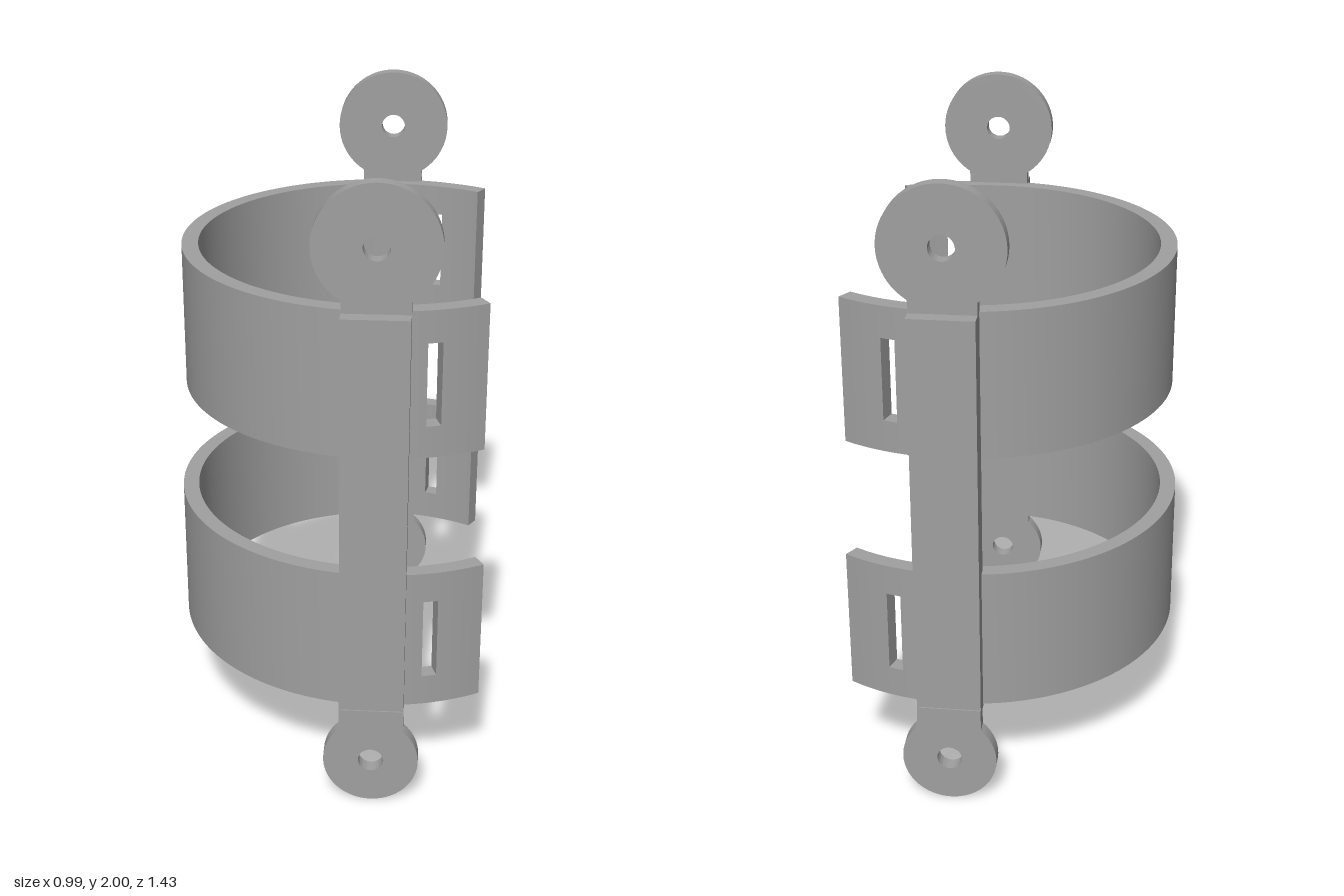
import * as THREE from 'three';
import { toCreasedNormals } from 'three/addons/utils/BufferGeometryUtils.js';

const CX = 0.163; // shared axis of the cuffs and side bars
const rad = THREE.MathUtils.degToRad;

export function createModel() {
  const model = new THREE.Group();
  model.name = 'hingedBrace';
  const grey = new THREE.MeshStandardMaterial({ color: 0xa0a0a0 });
  grey.name = 'plain grey';

  const add = (parent, geometry, name) => {
    const mesh = new THREE.Mesh(geometry, grey);
    mesh.name = name;
    parent.add(mesh);
    return mesh;
  };

  // Upright curved wall between two angles, measured from +x
  function sector(inner, outer, from, to, y0, y1) {
    const shape = new THREE.Shape();
    shape.absarc(0, 0, outer, rad(from), rad(to), false);
    shape.absarc(0, 0, inner, rad(to), rad(from), true);
    const geometry = new THREE.ExtrudeGeometry(shape, {
      depth: y1 - y0, bevelEnabled: false, curveSegments: Math.max(4, Math.round((to - from) / 4)),
    });
    geometry.rotateX(-Math.PI / 2).translate(CX, y0, 0);
    return toCreasedNormals(geometry, 0.5);
  }

  // Open cuff with a strap slot near each end
  function cuff(name, inner, outer, y0, y1, slot0, slot1) {
    const group = new THREE.Group();
    group.name = name;
    const end = 60, slotA = 72.7, slotB = 76.7;
    add(group, sector(inner, outer, slotB, 360 - slotB, y0, y1), 'cuffWall');
    for (const mirrored of [false, true]) {
      const piece = (a, b, low, high, label) => add(group, mirrored
        ? sector(inner, outer, 360 - b, 360 - a, low, high)
        : sector(inner, outer, a, b, low, high), label);
      piece(end, slotA, y0, y1, 'cuffEnd');
      piece(slotA, slotB, y0, slot0, 'slotLowerBridge');
      piece(slotA, slotB, slot1, y1, 'slotUpperBridge');
    }
    model.add(group);
  }
  cuff('upperCuff', 0.588, 0.64, 1.16, 1.62, 1.26, 1.52);
  cuff('lowerCuff', 0.612, 0.663, 0.32, 0.783, 0.42, 0.685);

  // Round eyelet with a straight neck; the neck leaves along dir (+1 up, -1 down)
  function eyelet(radius, cy, neckEnd, dir, z0, z1) {
    const half = 0.1;
    const a = Math.asin(half / radius);
    const shape = new THREE.Shape();
    const start = dir * Math.PI / 2 + a;
    shape.moveTo(radius * Math.cos(start), radius * Math.sin(start));
    shape.absarc(0, 0, radius, start, start + 2 * Math.PI - 2 * a, false);
    shape.lineTo(dir * half, neckEnd - cy);
    shape.lineTo(-dir * half, neckEnd - cy);
    shape.closePath();
    const hole = new THREE.Path();
    hole.absarc(0, 0, 0.039, 0, Math.PI * 2, true);
    shape.holes.push(hole);
    const geometry = new THREE.ExtrudeGeometry(shape, {
      depth: z1 - z0, bevelEnabled: false, curveSegments: 40,
    });
    geometry.translate(CX, cy, z0);
    return toCreasedNormals(geometry, 0.5);
  }

  // Side bar with a hinge eyelet at each end, on the front and the back
  for (const side of [1, -1]) {
    const bar = new THREE.Group();
    bar.name = side > 0 ? 'frontSideBar' : 'backSideBar';
    add(bar, new THREE.BoxGeometry(0.2, 1.31, 0.078), 'barStrip').position.set(CX, 0.965, 0.67);
    add(bar, eyelet(0.185, 1.815, 1.6, -1, 0.62, 0.664), 'upperEyelet');
    add(bar, eyelet(0.148, 0.148, 0.33, 1, 0.667, 0.713), 'lowerEyelet');
    // Turn the back bar half a revolution around the shared axis
    if (side < 0) {
      bar.rotation.y = Math.PI;
      bar.position.x = 2 * CX;
    }
    model.add(bar);
  }
  return model;
}
